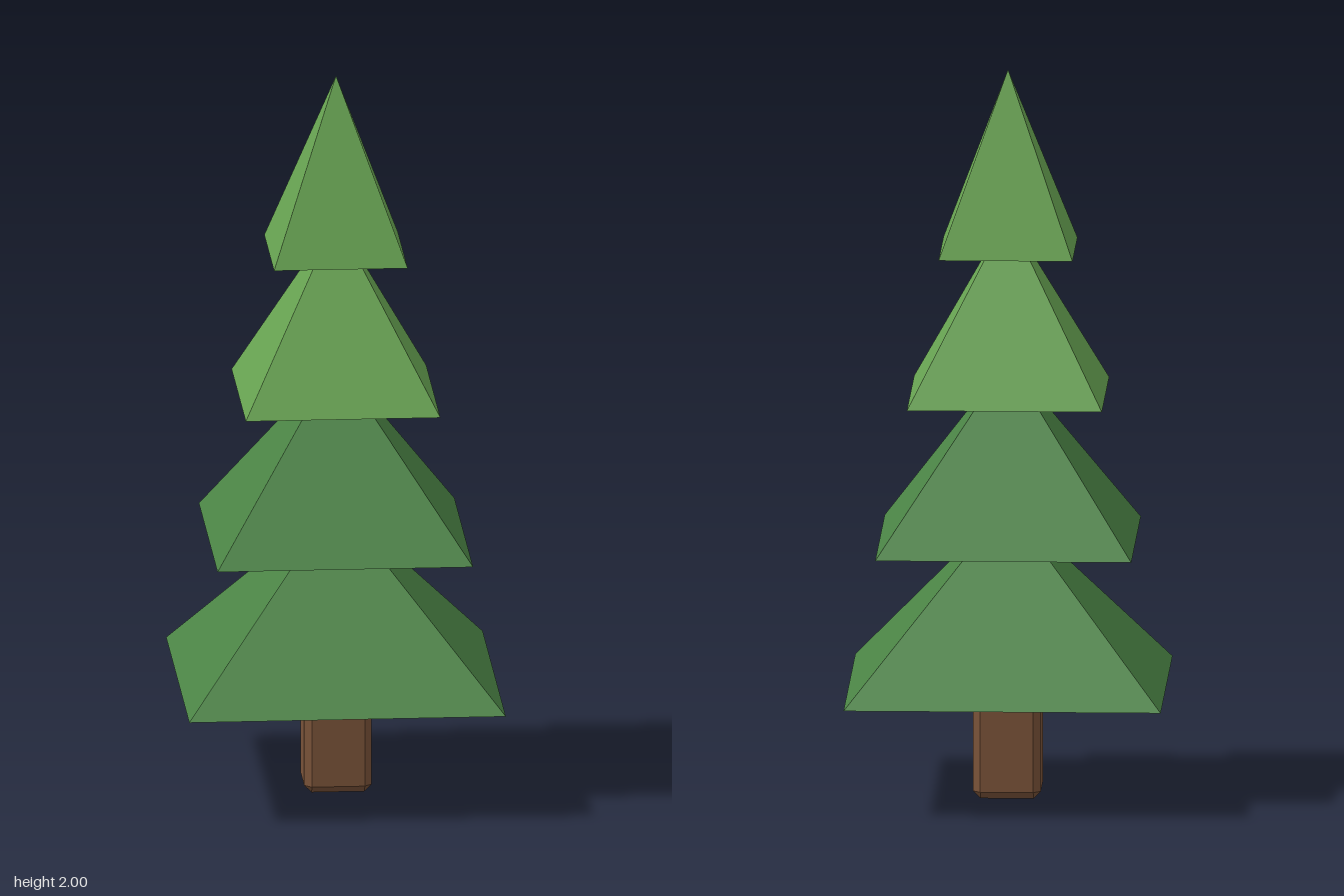
import * as THREE from 'three';
import { ConvexGeometry } from 'three/addons/geometries/ConvexGeometry.js';

const flat = (name, color) => {
  const m = new THREE.MeshStandardMaterial({ color, flatShading: true });
  m.name = name;
  return m;
};

// Box with every edge cut by a single flat bevel, standing on y = 0
function chamferedBox(halfWidth, height, cut) {
  const points = [];
  const h = height / 2;
  for (const x of [-1, 1]) for (const y of [-1, 1]) for (const z of [-1, 1]) {
    for (let axis = 0; axis < 3; axis++) {
      const inset = [cut, cut, cut];
      inset[axis] = 0;
      points.push(new THREE.Vector3(
        x * (halfWidth - inset[0]),
        h + y * (h - inset[1]),
        z * (halfWidth - inset[2])
      ));
    }
  }
  return new ConvexGeometry(points);
}

export function createModel() {
  const tree = new THREE.Group();
  tree.name = 'pineTree';

  const bark = flat('brown bark', 0x7a5339);
  const darkGreen = flat('dark green needles', 0x4b8445);
  const lightGreen = flat('light green needles', 0x68a452);

  // Trunk, running up into the lowest tier
  const trunk = new THREE.Mesh(chamferedBox(0.092, 0.4, 0.02), bark);
  trunk.name = 'trunk';
  tree.add(trunk);

  // Four square pyramids, narrowing upwards
  const tierHeight = 0.496;
  const halfWidths = [0.431, 0.348, 0.265, 0.182];
  halfWidths.forEach((halfWidth, i) => {
    const geometry = new THREE.ConeGeometry(halfWidth * Math.SQRT2, tierHeight, 4);
    geometry.rotateY(Math.PI / 4);
    const tier = new THREE.Mesh(geometry, i < 2 ? darkGreen : lightGreen);
    tier.name = `foliageTier${i + 1}`;
    tier.position.y = 0.304 + 0.4 * i + tierHeight / 2;
    tree.add(tier);
  });

  return tree;
}
